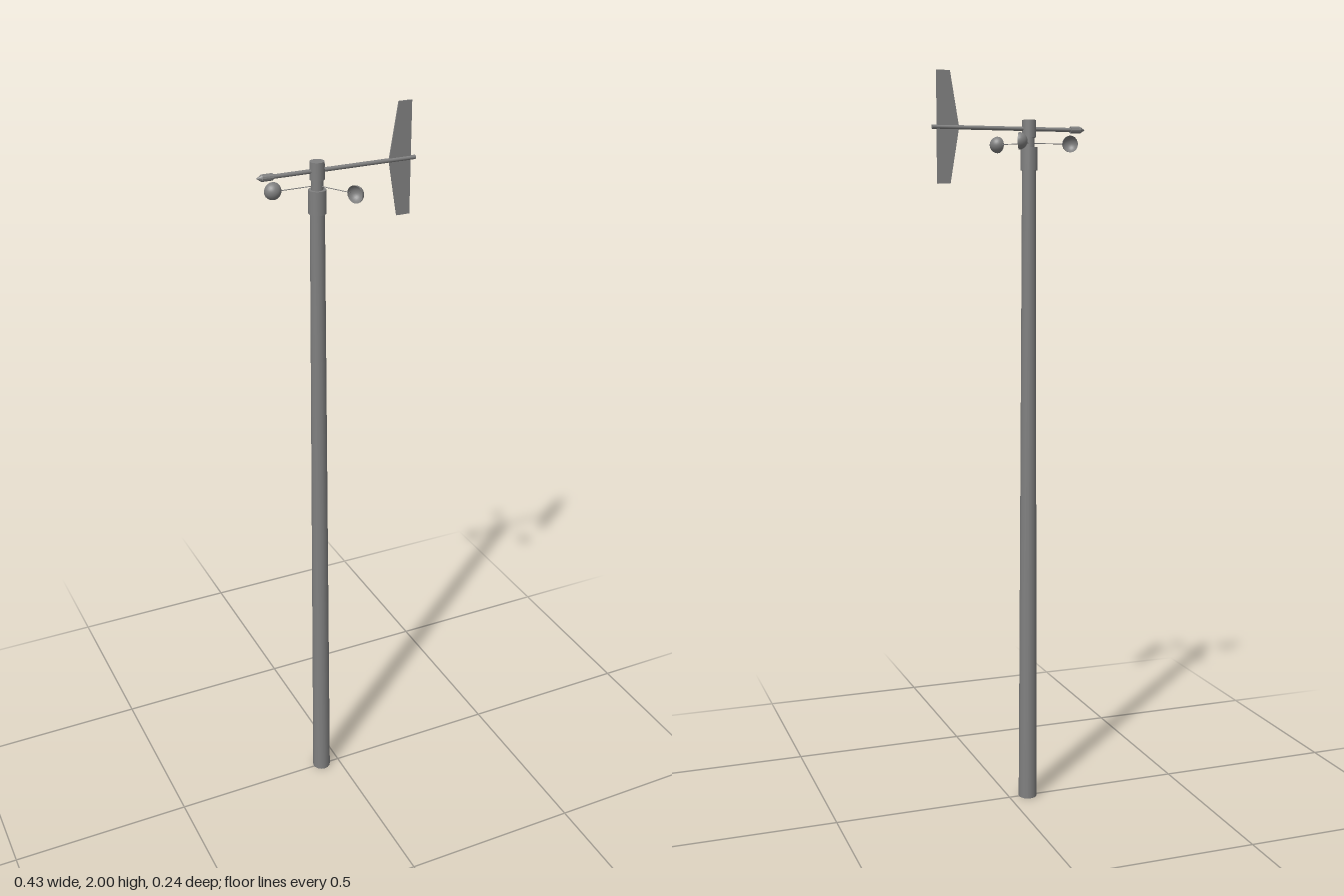
import * as THREE from 'three';

export function createModel() {
  const model = new THREE.Group();
  const material = new THREE.MeshStandardMaterial({ color: 0x808080 });
  const thin = new THREE.MeshStandardMaterial({ color: 0x808080, side: THREE.DoubleSide });
  const hubX = -0.054, hubZ = -0.002, boomY = 1.857;

  const add = (name, geometry, parent, x = 0, y = 0, z = 0, mat = material) => {
    const mesh = new THREE.Mesh(geometry, mat);
    mesh.name = name;
    mesh.position.set(x, y, z);
    parent.add(mesh);
    return mesh;
  };

  // upright cylinder between two heights on the mast axis
  const upright = (name, rTop, rBottom, y0, y1) =>
    add(name, new THREE.CylinderGeometry(rTop, rBottom, y1 - y0, 16), model, hubX, (y0 + y1) / 2, hubZ);

  // mast and head
  upright('mast', 0.0185, 0.0255, 0, 1.76);
  upright('collar', 0.0225, 0.0225, 1.75, 1.81);
  upright('rotorHub', 0.015, 0.015, 1.81, 1.835);
  upright('head', 0.0185, 0.0185, 1.835, 1.88);

  // wind vane: boom, pointed counterweight and tail fin
  const vane = new THREE.Group();
  vane.name = 'windVane';
  vane.position.set(0, boomY, hubZ);
  model.add(vane);

  const boom = new THREE.CylinderGeometry(0.0055, 0.0055, 0.393, 12).rotateZ(Math.PI / 2);
  add('boom', boom, vane, 0.0165);

  const noseProfile = [[0, -0.171], [0.009, -0.171], [0.009, -0.199], [0, -0.213]]
    .map(([r, x]) => new THREE.Vector2(r, -x));
  const nose = new THREE.LatheGeometry(noseProfile, 12).toNonIndexed().rotateZ(Math.PI / 2);
  nose.computeVertexNormals();
  add('counterweight', nose, vane);

  const finShape = new THREE.Shape([
    [0.14, 0], [0.164, -0.143], [0.2, -0.143], [0.2, 0.143], [0.164, 0.143],
  ].map(([x, y]) => new THREE.Vector2(x, y)));
  const fin = new THREE.ExtrudeGeometry(finShape, { depth: 0.004, bevelEnabled: false });
  add('tailFin', fin.translate(0, 0, -0.002), vane);

  // rotor: three arms, each with a hollow half-sphere cup
  const rotor = new THREE.Group();
  rotor.name = 'cupRotor';
  rotor.position.set(hubX, 1.82, hubZ);
  model.add(rotor);

  for (const angle of [Math.PI / 3, Math.PI, -Math.PI / 3]) {
    const arm = new THREE.Group();
    arm.name = 'cupArm';
    arm.rotation.y = angle;
    rotor.add(arm);
    add('rod', new THREE.CylinderGeometry(0.0011, 0.0011, 0.097, 8).rotateZ(Math.PI / 2), arm, 0.0485);
    const cup = new THREE.SphereGeometry(0.022, 20, 8, 0, Math.PI * 2, 0, Math.PI / 2).rotateX(-Math.PI / 2);
    add('cup', cup, arm, 0.115, 0, 0.0066, thin);
  }

  return model;
}
